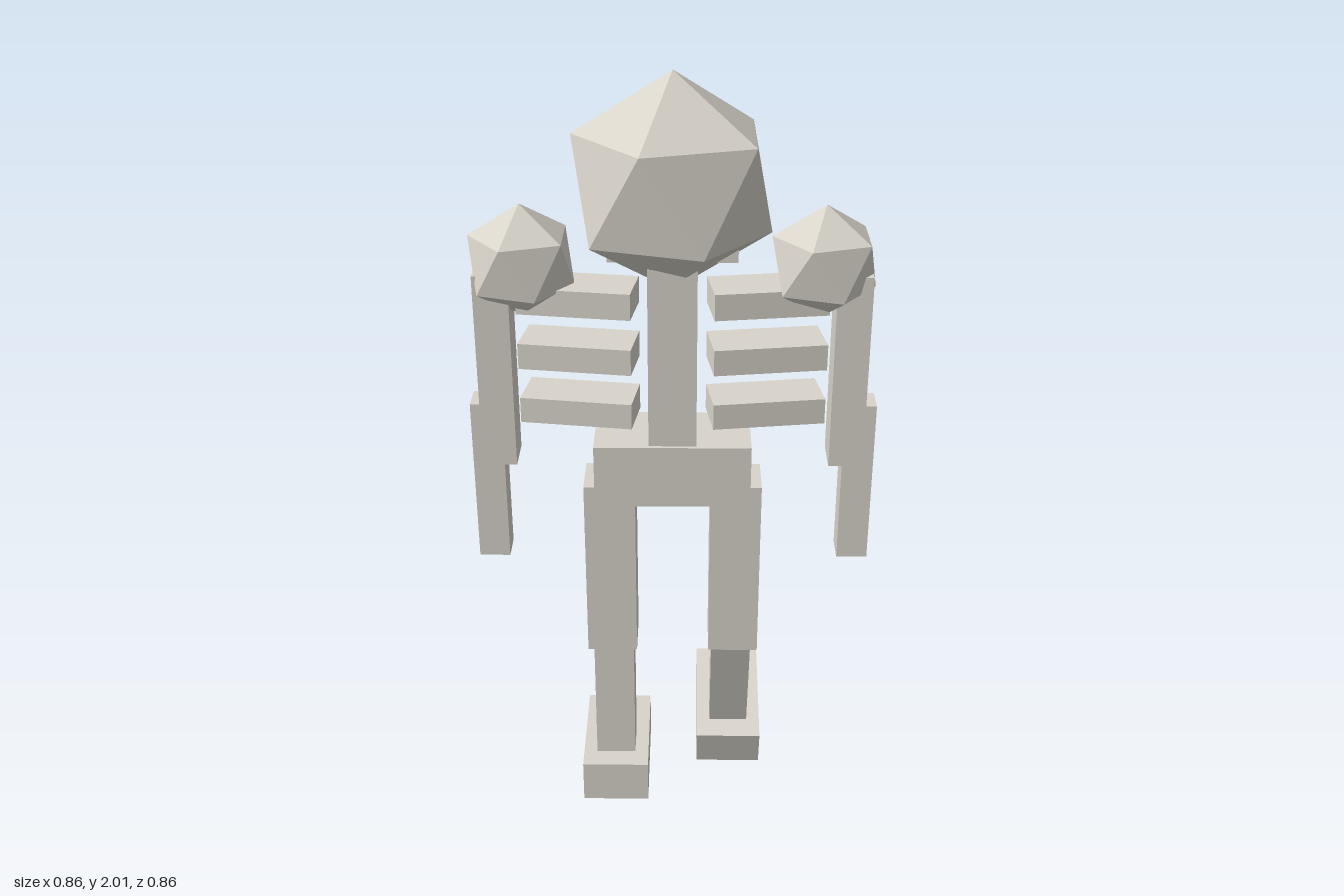
import * as THREE from 'three';

export function createModel() {
  const bone = new THREE.MeshStandardMaterial({ color: 0xd8d4ca });
  bone.name = 'bone';
  const brown = new THREE.MeshStandardMaterial({ color: 0xa5745a });
  brown.name = 'eye brown';

  // The figure is built facing its own +z, centred on x = 0, then turned.
  const figure = new THREE.Group();
  figure.name = 'skeleton';
  const mid = -0.071; // depth of the body's axis

  function box(name, size, pos, parent = figure, material = bone) {
    const mesh = new THREE.Mesh(new THREE.BoxGeometry(...size), material);
    mesh.name = name;
    mesh.position.set(...pos);
    parent.add(mesh);
    return mesh;
  }

  // Icosahedron standing on a vertex, with an upper-ring vertex towards +x
  function ball(name, radius, pos, depthScale = 1) {
    const geo = new THREE.IcosahedronGeometry(radius, 0);
    geo.rotateZ(Math.atan(2 / (1 + Math.sqrt(5)))).rotateY(Math.PI);
    geo.scale(1, 1, depthScale);
    geo.computeVertexNormals();
    const mesh = new THREE.Mesh(geo, bone);
    mesh.name = name;
    mesh.position.set(...pos);
    figure.add(mesh);
  }

  // Head, spine and pelvis
  ball('head', 0.262, [0, 1.739, mid], 0.905);
  box('jaw', [0.31, 0.105, 0.2], [0, 1.61, -0.004]);
  box('spine', [0.118, 0.5, 0.118], [0, 1.31, -0.102]);
  box('pelvis', [0.39, 0.165, 0.2], [0, 1.018, mid]);

  for (const side of [1, -1]) {
    const label = side > 0 ? 'left' : 'right';
    box(label + 'Eye', [0.085, 0.082, 0.024], [side * 0.11, 1.765, 0.144], figure, brown);

    // Ribs, outer ends swung slightly forward
    for (const y of [1.462, 1.319, 1.175]) {
      const rib = box(label + 'Rib', [0.278, 0.066, 0.125], [side * 0.229, y, mid]);
      rib.rotation.y = -side * THREE.MathUtils.degToRad(8);
    }

    // Arm
    ball(label + 'Shoulder', 0.14, [side * 0.36, 1.55, mid]);
    box(label + 'UpperArm', [0.085, 0.5, 0.105], [side * 0.432, 1.28, -0.076]);
    box(label + 'Forearm', [0.081, 0.45, 0.081], [side * 0.48, 0.905, 0.049]);

    // Leg; the right lower leg swings forward from the knee
    box(label + 'Thigh', [0.13, 0.495, 0.13], [side * 0.16, 0.7225, mid]);
    const knee = new THREE.Group();
    knee.name = label + 'LowerLeg';
    knee.position.set(side * 0.157, 0.607, mid);
    knee.rotation.x = side < 0 ? -0.288 : 0;
    figure.add(knee);
    box(label + 'Shin', [0.106, 0.49, 0.106], [0, -0.255, 0], knee);
    box(label + 'Foot', [0.179, 0.12, 0.314], [0, -0.547, 0.046], knee);
  }

  figure.rotation.y = THREE.MathUtils.degToRad(135);
  const model = new THREE.Group();
  model.name = 'model';
  model.add(figure);
  return model;
}
